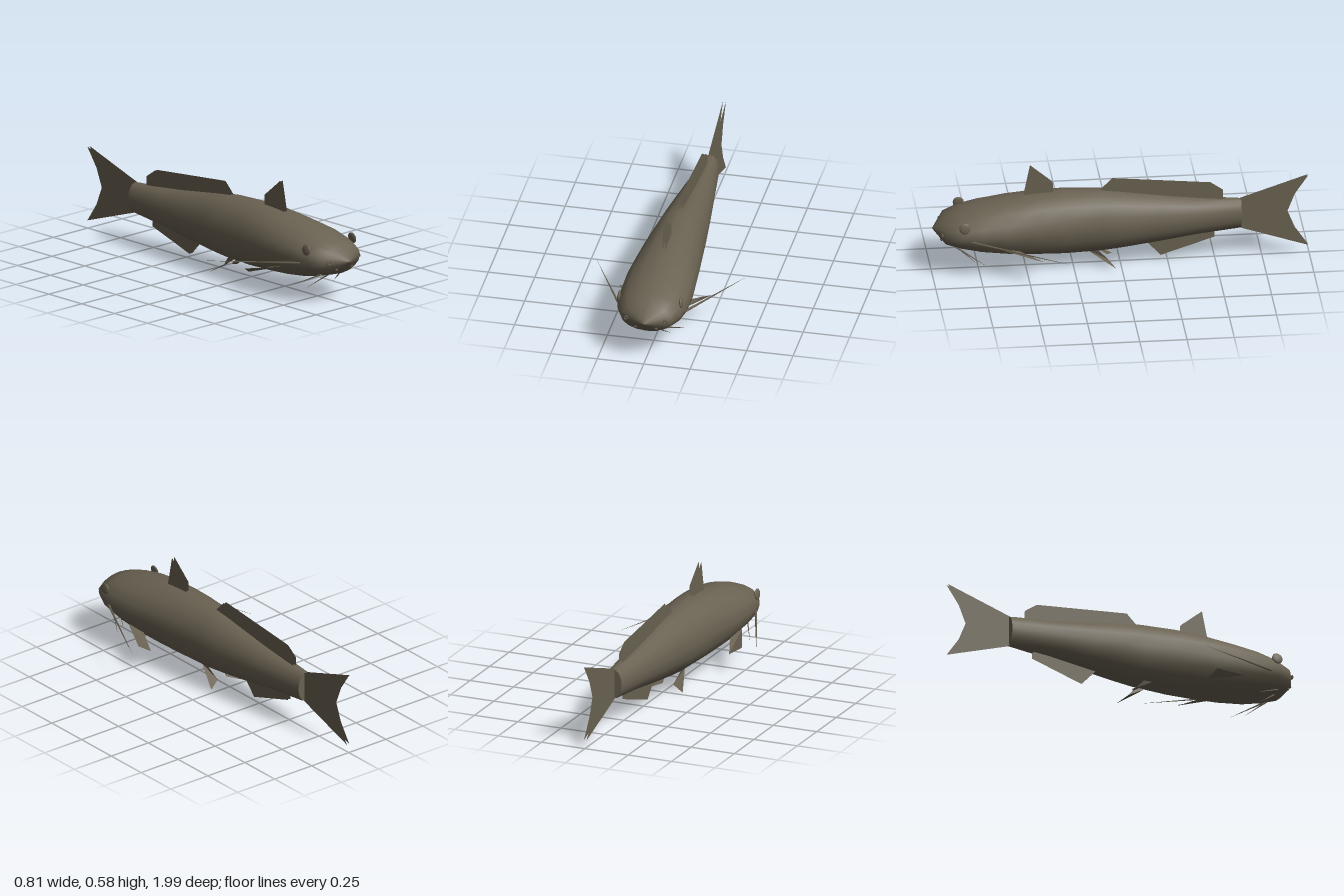
import * as THREE from 'three';

const SIDES = 16;
const FIN_GAP = 0.008;

// Body stations from nose to tail: z, half width, bottom y, top y
const STATIONS = [
  [0.995, 0, 0.24, 0.24],
  [0.93, 0.137, 0.165, 0.317],
  [0.85, 0.175, 0.14, 0.348],
  [0.74, 0.189, 0.112, 0.378],
  [0.6, 0.188, 0.093, 0.402],
  [0.45, 0.174, 0.081, 0.419],
  [0.3, 0.16, 0.075, 0.426],
  [0.1, 0.139, 0.079, 0.42],
  [0, 0.129, 0.089, 0.408],
  [-0.2, 0.106, 0.114, 0.379],
  [-0.4, 0.081, 0.143, 0.35],
  [-0.62, 0.053, 0.164, 0.334],
  [-0.64, 0.05, 0.167, 0.331],
];

function bodyGeometry() {
  const pos = [], index = [];
  for (const [z, rx, lo, hi] of STATIONS) {
    for (let j = 0; j < SIDES; j++) {
      const a = (j / SIDES) * Math.PI * 2;
      pos.push(Math.sin(a) * rx, (lo + hi) / 2 + Math.cos(a) * (hi - lo) / 2, z);
    }
  }
  for (let i = 0; i < STATIONS.length - 1; i++) {
    for (let j = 0; j < SIDES; j++) {
      const p0 = i * SIDES + j, p1 = i * SIDES + (j + 1) % SIDES;
      if (i > 0) index.push(p0, p1, p0 + SIDES);
      index.push(p1, p1 + SIDES, p0 + SIDES);
    }
  }
  const g = new THREE.BufferGeometry();
  g.setAttribute('position', new THREE.Float32BufferAttribute(pos, 3));
  g.setIndex(index);
  g.computeVertexNormals();
  return g;
}

export function createModel() {
  const model = new THREE.Group();
  const skin = new THREE.MeshStandardMaterial({ color: 0x6a6252 });
  skin.name = 'brown skin';
  skin.side = THREE.DoubleSide;

  const add = (name, geometry, parent = model) => {
    const mesh = new THREE.Mesh(geometry, skin);
    mesh.name = name;
    parent.add(mesh);
    return mesh;
  };

  // Body and the flat end of the tail stalk
  add('body', bodyGeometry());
  const [endZ, endRx, endLo, endHi] = STATIONS[STATIONS.length - 1];
  const cap = add('tailStalkEnd', new THREE.CircleGeometry(1, SIDES));
  cap.scale.set(endRx, (endHi - endLo) / 2, 1);
  cap.position.set(0, (endLo + endHi) / 2, endZ);
  cap.rotation.y = Math.PI;

  // Upright fins: a pair of parallel sheets, outlines given as [z, y]
  const uprightFin = (name, outline) => {
    const fin = new THREE.Group();
    fin.name = name;
    const shape = new THREE.Shape(outline.map(([z, y]) => new THREE.Vector2(-z, y)));
    for (const s of [-1, 1]) {
      const sheet = add(s > 0 ? 'leftSheet' : 'rightSheet', new THREE.ShapeGeometry(shape), fin);
      sheet.rotation.y = Math.PI / 2;
      sheet.position.x = s * FIN_GAP;
    }
    model.add(fin);
  };
  uprightFin('frontDorsalFin', [[0.51, 0.405], [0.475, 0.577], [0.355, 0.475], [0.355, 0.405]]);
  uprightFin('rearDorsalFin', [[0.11, 0.41], [0.04, 0.48], [-0.48, 0.43], [-0.545, 0.385], [-0.545, 0.335]]);
  uprightFin('analFin', [[-0.13, 0.12], [-0.215, 0.028], [-0.5, 0.12], [-0.5, 0.17]]);
  uprightFin('tailFin', [[-0.63, 0.33], [-0.995, 0.452], [-0.925, 0.35], [-0.885, 0.25],
    [-0.925, 0.15], [-0.995, 0.047], [-0.63, 0.168]]);

  // Four-cornered paired fin sheet
  const pairedFin = (name, s, corners) => {
    const g = new THREE.BufferGeometry();
    const pts = [0, 1, 2, 0, 2, 3].flatMap((i) => [corners[i][0] * s, corners[i][1], corners[i][2]]);
    g.setAttribute('position', new THREE.Float32BufferAttribute(pts, 3));
    g.computeVertexNormals();
    add(name, g);
  };

  // Tapered whisker between two points
  const barbel = (name, s, from, to, radius) => {
    const a = new THREE.Vector3(from[0] * s, from[1], from[2]);
    const b = new THREE.Vector3(to[0] * s, to[1], to[2]);
    const dir = b.clone().sub(a);
    const mesh = add(name, new THREE.ConeGeometry(radius, dir.length(), 6));
    mesh.position.copy(a).add(b).multiplyScalar(0.5);
    mesh.quaternion.setFromUnitVectors(new THREE.Vector3(0, 1, 0), dir.normalize());
  };

  for (const s of [1, -1]) {
    const side = s > 0 ? 'left' : 'right';
    pairedFin(side + 'PectoralFin', s,
      [[0.165, 0.172, 0.645], [0.25, 0.14, 0.455], [0.19, 0.104, 0.425], [0.135, 0.155, 0.56]]);
    pairedFin(side + 'PelvicFin', s,
      [[0.05, 0.09, 0.17], [0.1, 0.002, 0.03], [0.03, 0.027, 0.065], [0.05, 0.09, 0.12]]);

    barbel(side + 'LongBarbel', s, [0.175, 0.228, 0.8], [0.405, 0.182, 0.3], 0.007);
    barbel(side + 'OuterChinBarbel', s, [0.09, 0.165, 0.875], [0.18, 0.083, 0.715], 0.005);
    barbel(side + 'InnerChinBarbel', s, [0.045, 0.157, 0.88], [0.1, 0.068, 0.765], 0.005);

    // Flattened eye
    const eye = add(side + 'Eye', new THREE.SphereGeometry(0.03, 14, 10));
    eye.scale.x = 0.28;
    eye.position.set(s * 0.167, 0.306, 0.838);
    eye.rotation.z = s * 0.12;

    // Short nostril tube and the small pit below it
    const nostril = add(side + 'Nostril', new THREE.TorusGeometry(0.009, 0.004, 5, 8));
    nostril.scale.x = 1.1;
    nostril.position.set(s * 0.107, 0.243, 0.95);
    const pit = add(side + 'LowerNostril', new THREE.SphereGeometry(0.008, 8, 6));
    pit.position.set(s * 0.055, 0.198, 0.95);
  }
  return model;
}
